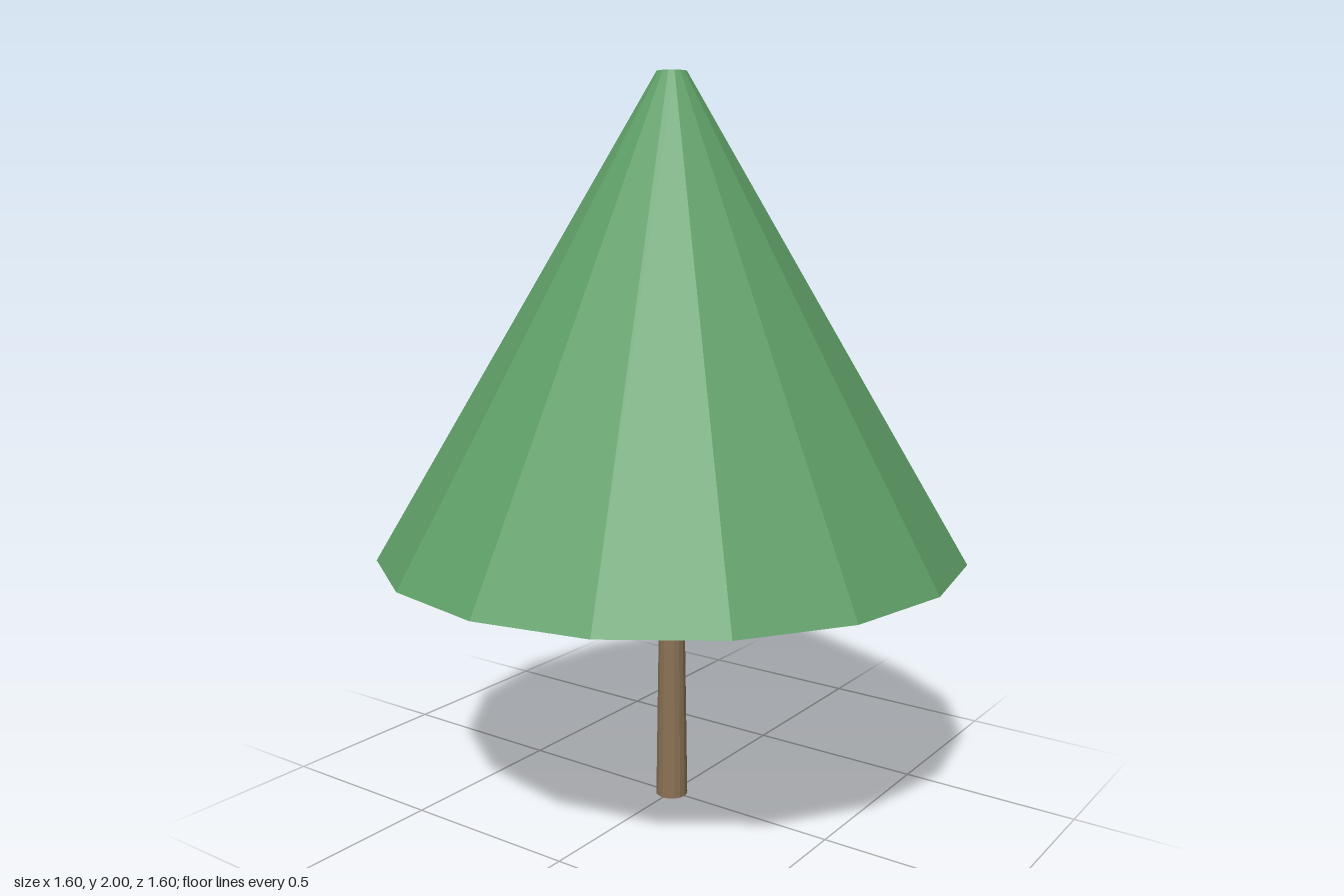
import * as THREE from 'three';

const SIDES = 16;
const CANOPY_BASE = 0.725;
const HEIGHT = 2;

// Closed tapered cylinder standing between two heights
function taper(name, topRadius, bottomRadius, y0, y1, material) {
  const geometry = new THREE.CylinderGeometry(topRadius, bottomRadius, y1 - y0, SIDES).toNonIndexed();
  geometry.computeVertexNormals(); // flat facets
  const mesh = new THREE.Mesh(geometry, material);
  mesh.name = name;
  mesh.position.y = (y0 + y1) / 2;
  return mesh;
}

export function createModel() {
  const bark = new THREE.MeshStandardMaterial({ color: 0x8b7355 });
  bark.name = 'bark brown';
  const leaf = new THREE.MeshStandardMaterial({ color: 0x5f9f67 });
  leaf.name = 'leaf green';

  const tree = new THREE.Group();
  tree.name = 'tree';
  // Slim trunk, ending just inside the canopy
  tree.add(taper('trunk', 0.033, 0.045, 0, CANOPY_BASE + 0.03, bark));
  // Broad cone with a small flat tip
  tree.add(taper('canopy', 0.04, 0.8, CANOPY_BASE, HEIGHT, leaf));
  return tree;
}
